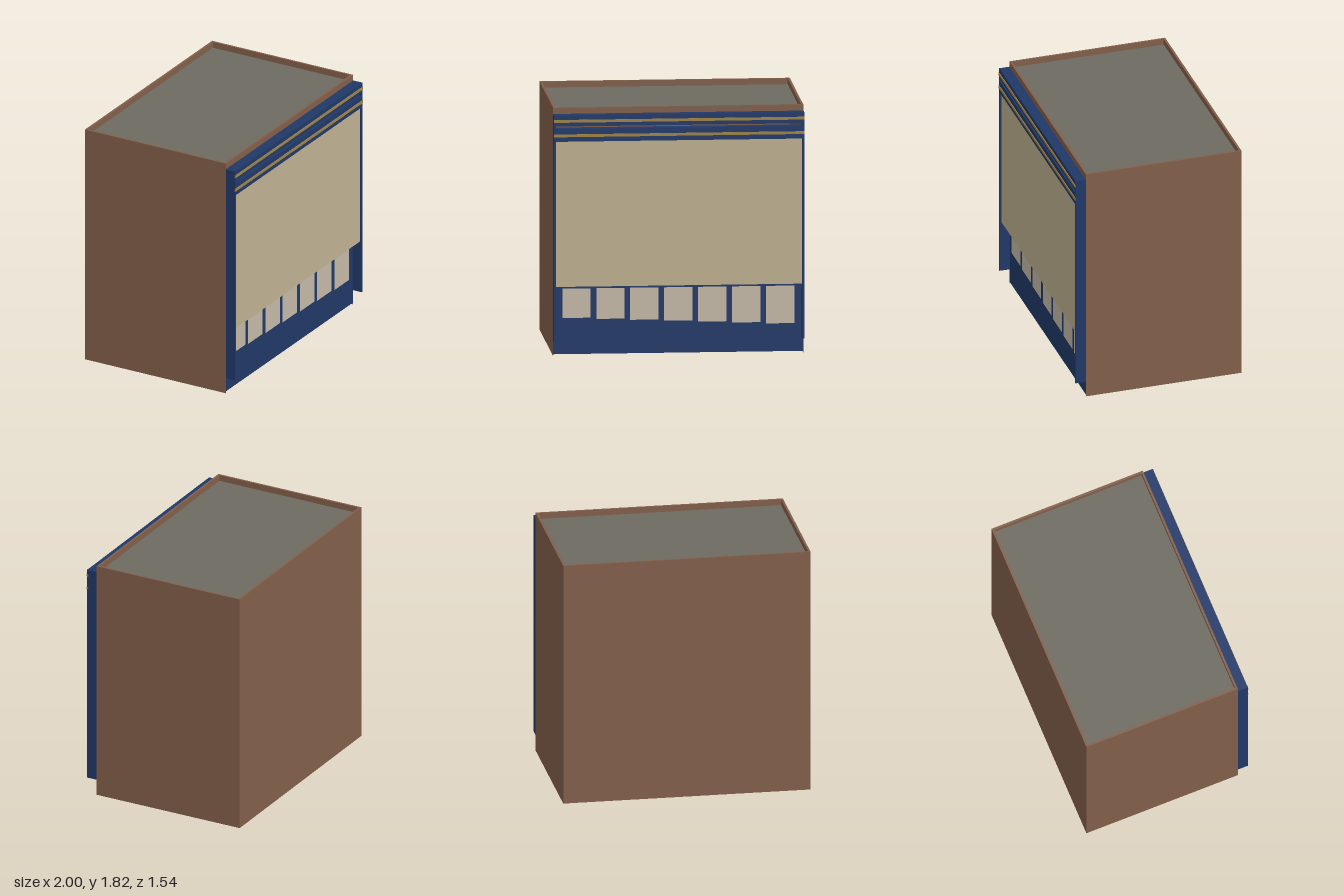
import * as THREE from 'three';

const paint = (color) => new THREE.MeshStandardMaterial({ color, side: THREE.DoubleSide });

export function createModel() {
  const model = new THREE.Group();
  model.name = 'shopBuilding';
  const brick = paint(0x825f4a), navy = paint(0x203868), cream = paint(0xc0b192);
  const glass = paint(0xc5baa8), gold = paint(0xa08448), tar = paint(0x6d6a61);

  const W = 0.907, D = 0.591, H = 1.82, roofY = 1.775, front = 0.668;

  // Box given by its lower and upper bounds
  function box(name, mat, x0, x1, y0, y1, z0, z1) {
    const mesh = new THREE.Mesh(new THREE.BoxGeometry(x1 - x0, y1 - y0, z1 - z0), mat);
    mesh.position.set((x0 + x1) / 2, (y0 + y1) / 2, (z0 + z1) / 2);
    mesh.name = name;
    model.add(mesh);
  }

  // Upright sheet facing +z, turned by angle
  function sheet(name, mat, w, y0, y1, x, z, angle = 0) {
    const mesh = new THREE.Mesh(new THREE.PlaneGeometry(w, y1 - y0), mat);
    mesh.position.set(x, (y0 + y1) / 2, z);
    mesh.rotation.y = angle;
    mesh.name = name;
    model.add(mesh);
  }

  // Shell: back and side walls, open underneath
  sheet('backWall', brick, 2 * W, 0, roofY, 0, -D, Math.PI);
  sheet('leftWall', brick, 2 * D, 0, roofY, W, 0, Math.PI / 2);
  sheet('rightWall', brick, 2 * D, 0, roofY, -W, 0, -Math.PI / 2);

  // Sunken flat roof inside a parapet
  const roof = new THREE.Mesh(new THREE.PlaneGeometry(2 * W, 2 * D), tar);
  roof.rotation.x = -Math.PI / 2;
  roof.position.y = roofY;
  roof.name = 'roof';
  model.add(roof);
  const t = 0.016;
  for (const s of [-1, 1]) {
    const x = s * (W - t / 2), z = s * (D - t / 2);
    box('parapetSide', brick, x - t / 2, x + t / 2, roofY, H, -D, D);
    box('parapetEnd', brick, -W + t, W - t, roofY, H, z - t / 2, z + t / 2);
  }

  // Shopfront: base panel, display pane, slim pilasters
  sheet('basePanel', navy, 2 * W, 0.015, 0.52, 0, D);
  sheet('displayPane', cream, 1.785, 0.518, 1.585, 0, 0.655);
  for (const s of [-1, 1]) {
    const x = s * (W - 0.006);
    box('pilaster', navy, x - 0.007, x + 0.007, 0.12, 1.775, D, front + 0.002);
  }

  // Fascia bands with gold trim, leaving a slot between them
  for (const [y0, y1, trim] of [[1.583, 1.675, 1.627], [1.695, 1.775, 1.733]]) {
    box('fasciaBand', navy, -W, W, y0, y1, D, front);
    box('fasciaTrim', gold, -W - 0.001, W + 0.001, trim - 0.01, trim + 0.01, front - 0.01, front + 0.006);
  }

  // Basement lights, growing taller towards the left side
  for (let i = 0; i < 7; i++) {
    sheet('basementLight', glass, 0.206, 0.28 - i * 0.01, 0.495, (i - 3) * 0.246, D + 0.003);
  }

  // Whole building stands turned on its plot
  model.rotation.y = 0.163;
  model.position.set(-0.009, 0, -0.04);
  const root = new THREE.Group();
  root.name = 'building';
  root.add(model);
  return root;
}
